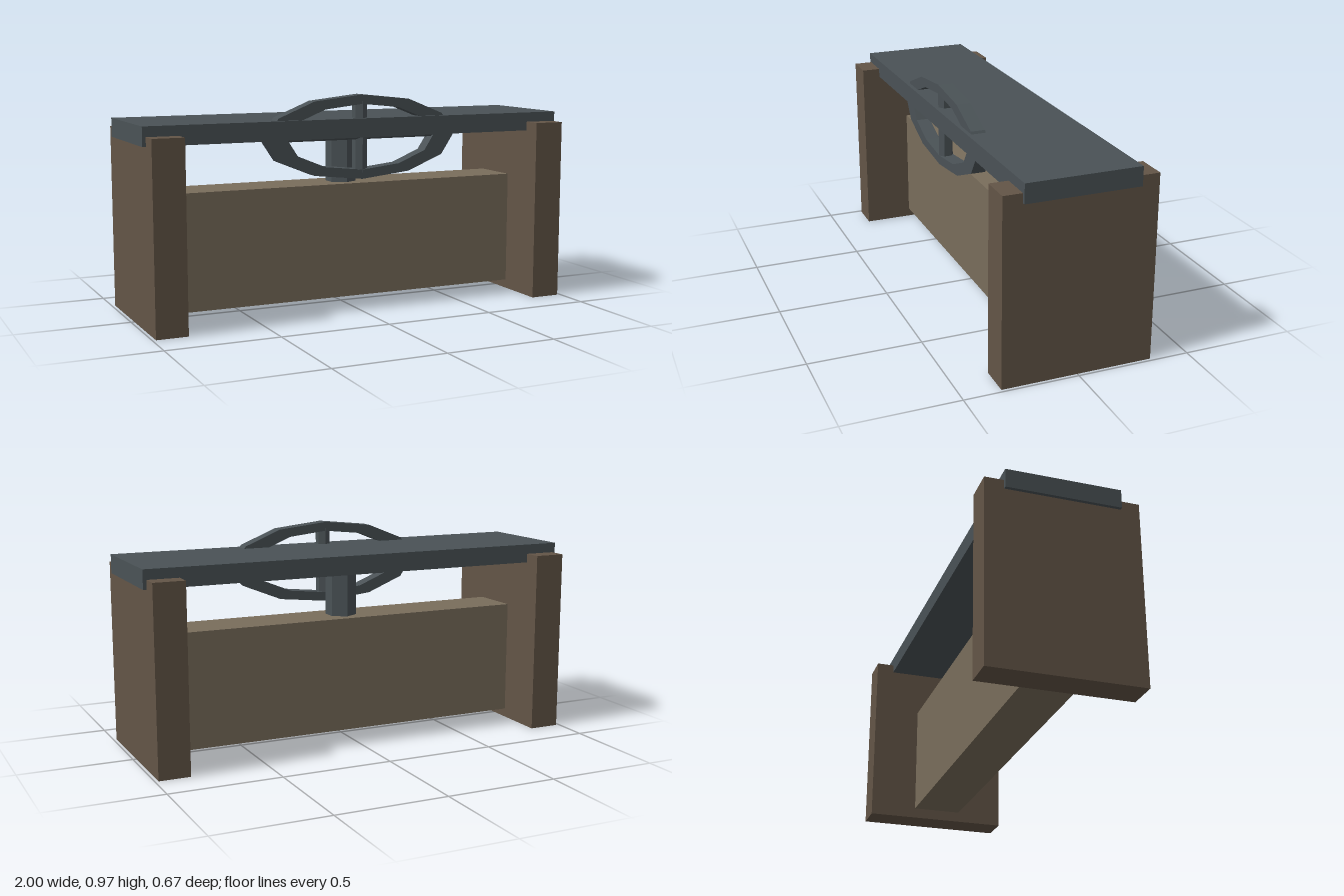
import * as THREE from 'three';

const material = (color) => new THREE.MeshStandardMaterial({ color, flatShading: true });

export function createModel() {
  const model = new THREE.Group();
  const postWood = material(0x635547);
  const boxWood = material(0x796d5b);
  const iron = material(0x4a5256);

  const add = (name, geometry, mat, x, y, z, parent = model) => {
    const mesh = new THREE.Mesh(geometry, mat);
    mesh.name = name;
    mesh.position.set(x, y, z);
    parent.add(mesh);
    return mesh;
  };

  // End boards, one on each side
  for (const [name, side] of [['leftEndBoard', 1], ['rightEndBoard', -1]]) {
    add(name, new THREE.BoxGeometry(0.14, 0.825, 0.667), postWood, side * 0.915, 0.4125, 0);
  }

  // Wooden block between the boards, and the plate across the top
  add('block', new THREE.BoxGeometry(1.67, 0.52, 0.228), boxWood, 0, 0.305, 0);
  add('topPlate', new THREE.BoxGeometry(2, 0.084, 0.5), iron, 0, 0.827, 0);

  // Six-sided screw joining the plate to the block
  add('screw', new THREE.CylinderGeometry(0.07, 0.07, 0.3, 6), iron, 0, 0.68, 0);

  // Hand wheel: a twelve-sided rim with two crossing spokes, squashed in height
  const wheel = new THREE.Group();
  wheel.name = 'handWheel';
  wheel.position.set(0, 0.786, 0.2);
  wheel.scale.y = 0.406;
  model.add(wheel);

  const polygon = (radius) => Array.from({ length: 12 }, (_, i) => {
    const a = (i * Math.PI) / 6;
    return new THREE.Vector2(radius * Math.cos(a), radius * Math.sin(a));
  });
  const rimShape = new THREE.Shape(polygon(0.46));
  rimShape.holes.push(new THREE.Path(polygon(0.358)));
  const rim = new THREE.ExtrudeGeometry(rimShape, { depth: 0.064, bevelEnabled: false });
  rim.translate(0, 0, -0.032);
  add('rim', rim, iron, 0, 0, 0, wheel);

  for (const [name, turn] of [['uprightSpoke', 0], ['levelSpoke', Math.PI / 2]]) {
    const spoke = new THREE.CylinderGeometry(0.033, 0.033, 0.78, 6);
    spoke.rotateZ(turn);
    add(name, spoke, iron, 0, 0, 0, wheel);
  }

  return model;
}
